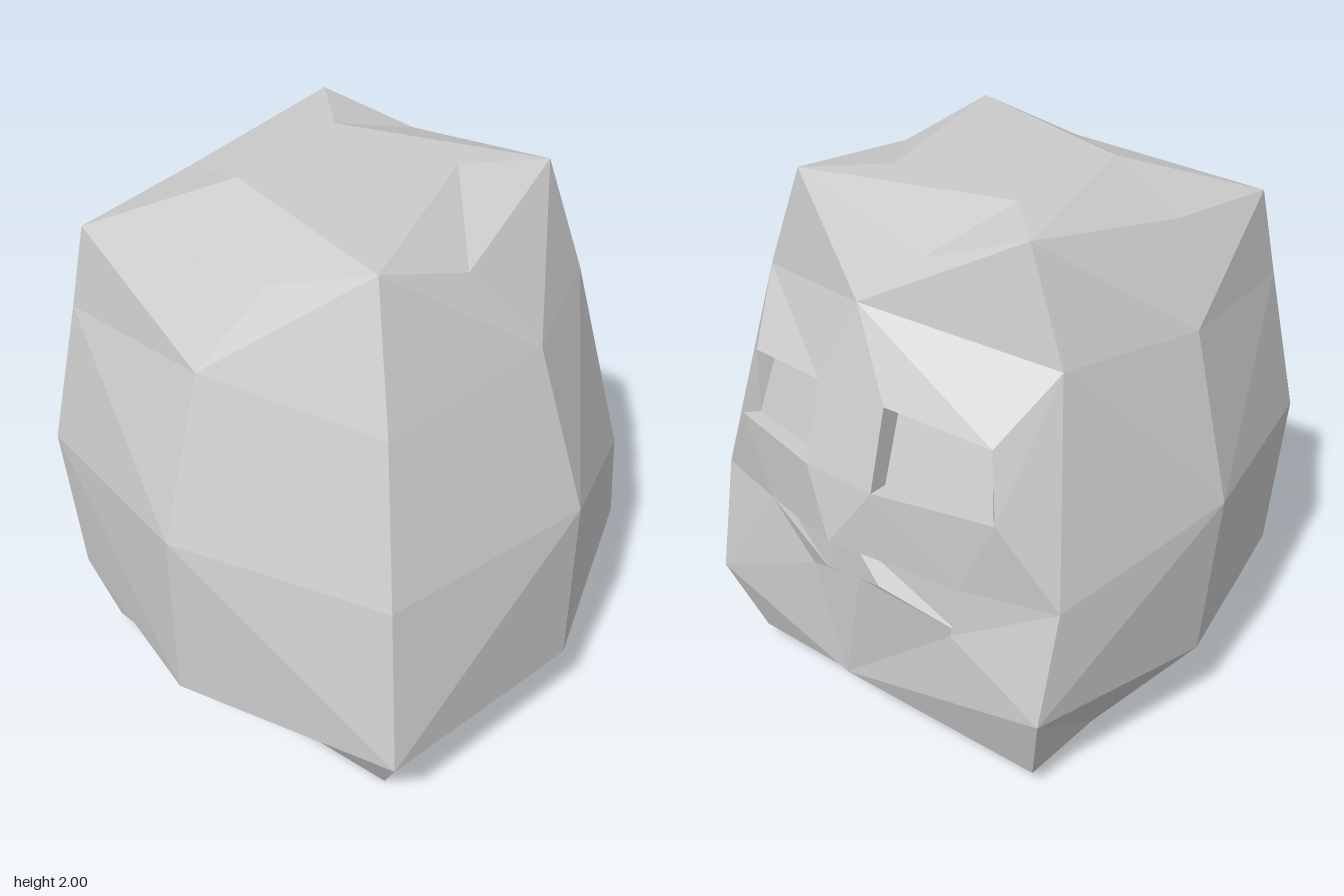
import * as THREE from 'three';

const material = new THREE.MeshStandardMaterial({ color: 0xcccccc, flatShading: true });

// Builds one faceted mesh from convex polygons (each fanned from its first corner).
function facets(name, polygons) {
  const positions = [];
  for (const p of polygons)
    for (let i = 1; i < p.length - 1; i++) positions.push(...p[0], ...p[i], ...p[i + 1]);
  const geometry = new THREE.BufferGeometry();
  geometry.setAttribute('position', new THREE.Float32BufferAttribute(positions, 3));
  geometry.computeVertexNormals();
  const mesh = new THREE.Mesh(geometry, material);
  mesh.name = name;
  return mesh;
}

// Orders a quad so that its dividing diagonal is the one lying further out.
function bulge(a, b, c, d) {
  const reach = (p, q) => Math.hypot(p[0] + q[0], p[1] + q[1] - 1.8, p[2] + q[2]);
  return reach(a, c) > reach(b, d) ? [a, b, c, d] : [b, c, d, a];
}

// Walls and back of a pocket between an outline and its sunken copy.
function pocket(name, rim, offsets) {
  const back = rim.map((p, i) => p.map((v, k) => v + offsets[i][k]));
  const walls = rim.map((p, i) => {
    const j = (i + 1) % rim.length;
    return [p, rim[j], back[j], back[i]];
  });
  return facets(name, [...walls, back]);
}

// Rings run: front-right corner, front, front-left, left, back-left, back, back-right, right.
const top = [
  [0.54, 2, 0.47], [-0.12, 1.89, 0.58], [-0.46, 2, 0.47], [-0.57, 1.89, 0.12],
  [-0.61, 1.85, -0.68], [-0.12, 1.89, -0.64], [0.54, 2, -0.53], [0.65, 1.89, -0.19],
];
const upper = [
  [0.56, 1.61, 0.62], [0.04, 1.6, 0.78], [-0.6, 1.52, 0.62], [-0.77, 1.6, -0.03],
  [-0.65, 1.53, -0.73], [0.04, 1.6, -0.84], [0.56, 1.61, -0.68], [0.76, 1.72, 0],
];
const nose = [0.96, 0.895, 0];
const middle = [
  [0.72, 0.8, 0.77], [0.04, 1.01, 0.99], [-0.74, 0.96, 0.75], [-0.97, 1.01, -0.03],
  [-0.74, 0.97, -0.81], [0.04, 0.99, -0.99], [0.7, 0.81, -0.79], nose,
];
const low = [
  [0.82, 0.375, 0.75], [0.04, 0.315, 0.99], [-0.83, 0.345, 0.84], [-0.97, 0.32, -0.03],
  [-0.71, 0.35, -0.77], [0.04, 0.33, -0.93], [0.8, 0.39, -0.78], [0.94, 0.33, -0.03],
];
// Bottom ring has two points between neighbouring corners.
const bottom = [
  [0.72, 0.07, 0.65], [0.36, 0, 0.67], [-0.28, 0, 0.67],
  [-0.65, 0, 0.67], [-0.65, 0, 0.25], [-0.65, 0, -0.35],
  [-0.65, 0.06, -0.68], [-0.28, 0.06, -0.69], [0.36, 0.07, -0.7],
  [0.72, 0.08, -0.7], [0.72, 0.07, -0.23], [0.72, 0.07, 0.2],
];

// Eye outlines: inner top, outer top, outer bottom, inner bottom.
const eyeL = [[0.84, 1.43, 0.12], [0.76, 1.38, 0.51], [0.81, 1.13, 0.56], [0.92, 1.14, 0.12]];
const eyeR = [[0.84, 1.43, -0.175], [0.755, 1.375, -0.555], [0.8, 1.13, -0.6], [0.92, 1.14, -0.175]];
// Crooked mouth outline below the nose.
const mouth = [
  nose, [0.835, 0.84, 0.41], [0.91, 0.72, 0.13],
  [0.97, 0.82, -0.15], [0.855, 0.65, -0.45], [0.835, 0.84, -0.47],
];

export function createModel() {
  const group = new THREE.Group();
  group.name = 'rockHead';

  // Front, left and back walls
  const walls = [];
  for (const [a, b] of [[low, middle], [middle, upper], [upper, top]])
    for (let i = 0; i < 6; i++) walls.push(bulge(a[i], b[i], b[i + 1], a[i + 1]));
  group.add(facets('walls', walls));

  // Lower bevel
  const bevel = [];
  for (let k = 0; k < 4; k++) {
    const [p, m, q] = [low[2 * k], low[2 * k + 1], low[(2 * k + 2) % 8]];
    const [b0, b1, b2, b3] = [0, 1, 2, 3].map((i) => bottom[(3 * k + i) % 12]);
    bevel.push(bulge(b0, p, m, b1), [b1, m, b2], bulge(b2, m, q, b3));
  }
  group.add(facets('lowerBevel', bevel));

  // Base: level at the front left, rising slightly towards the back right
  group.add(facets('base', [bottom.slice(1, 6), [...bottom.slice(5), bottom[0], bottom[1]]]));

  // Crown with a flat middle and a small notch on the left rim
  const [fr, fm, fl, lm, bl, bm, br, rm] = top;
  const A = [0.31, 2, 0.24], B = [0.31, 2, -0.3], C = [-0.23, 2, -0.3];
  const notch = [-0.57, 1.88, -0.19];
  group.add(facets('crown', [
    [A, B, C, fl], [fm, fr, A], [fm, A, fl], [fr, rm, B, A], [rm, br, B],
    [C, B, br, bm], [bm, bl, C], [bl, notch, C], [notch, lm, C], [lm, fl, C],
    [bl, lm, notch],
  ]));

  // Face: forehead, brow, nose bridge, cheeks and chin around the openings
  const [uL, uR, brow] = [upper[0], upper[6], upper[7]];
  const [cheekL, cheekR] = [middle[0], middle[6]];
  const [jawL, jawR, chin] = [low[0], low[6], low[7]];
  const [a, b, c, d] = eyeL;
  const [a2, b2, c2, d2] = eyeR;
  const [, m1, m5, m4, m3, m2] = mouth;
  group.add(facets('face', [
    [fr, uL, brow, rm], [br, rm, brow, uR],
    [uL, b, a, brow], [brow, a2, b2, uR], [brow, a, a2],
    [a, d, d2, a2], [d, nose, d2],
    [uL, cheekL, c, b], [cheekL, m1, c], [c, m1, d], [m1, nose, d],
    [c2, cheekR, uR, b2], [c2, m2, cheekR], [d2, m2, c2], [d2, nose, m2],
    [cheekL, jawL, m1], [m1, jawL, m5], [jawL, chin, m5], [m5, chin, m4],
    [m4, chin, m3], [m3, chin, jawR], [m3, jawR, cheekR], [m3, cheekR, m2],
  ]));

  // Sunken eyes
  const sink = (s) => [[-0.07, -0.04, 0], [-0.05, -0.035, -0.035 * s], [-0.045, 0, -0.045 * s], [-0.07, 0, 0]];
  group.add(pocket('leftEye', eyeL, sink(1)));
  group.add(pocket('rightEye', [...eyeR].reverse(), sink(-1).reverse()));

  // Sunken mouth, its floor sloping inward
  group.add(pocket('mouth', mouth, [
    [-0.09, -0.003, 0], [-0.04, -0.003, 0], [-0.06, -0.05, 0],
    [-0.09, -0.09, 0], [-0.06, -0.03, 0.015], [-0.05, -0.003, 0.015],
  ]));
  return group;
}
